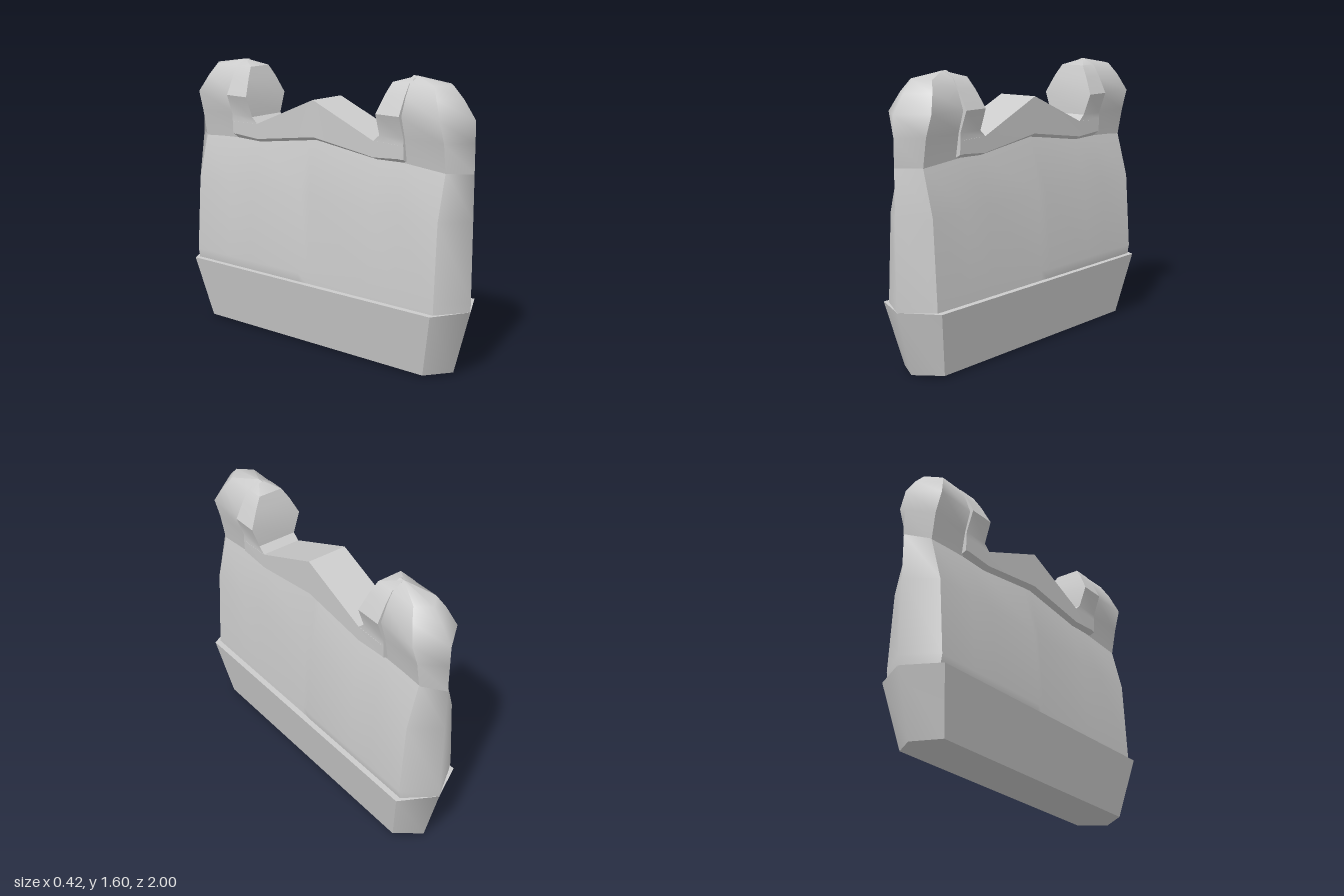
import * as THREE from 'three';
import { toCreasedNormals } from 'three/addons/utils/BufferGeometryUtils.js';

const material = new THREE.MeshStandardMaterial({ color: 0xcccccc, side: THREE.DoubleSide });

// Grid surface: rows run bottom to top, columns left to right seen from outside.
function patch(name, rows, crease = Math.PI) {
  const cols = rows[0].length;
  const index = [];
  for (let r = 0; r < rows.length - 1; r++) {
    for (let c = 0; c < cols - 1; c++) {
      const a = r * cols + c, d = a + cols;
      index.push(a, a + 1, d, a + 1, d + 1, d);
    }
  }
  let geometry = new THREE.BufferGeometry();
  geometry.setAttribute('position', new THREE.Float32BufferAttribute(rows.flat(2), 3));
  geometry.setIndex(index);
  if (crease < Math.PI) geometry = toCreasedNormals(geometry, crease);
  else geometry.computeVertexNormals();
  const mesh = new THREE.Mesh(geometry, material);
  mesh.name = name;
  return mesh;
}

// The same side surface on both the left and the right.
function bothSides(name, rows) {
  const mirrored = rows.map(row => row.map(([x, y, z]) => [-x, y, z]).reverse());
  return [patch(name + 'Left', rows), patch(name + 'Right', mirrored)];
}

// Pointed end surface from [y, halfWidth, shoulderZ, tipZ] levels.
const endRows = levels => levels.map(([y, w, sh, tip]) => [[-w, y, sh], [0, y, tip], [w, y, sh]]);

function makeBase() {
  const base = new THREE.Group();
  base.name = 'base';
  const levels = [[0.012, 0.147, 0.8, 0.9], [0.375, 0.21, 0.885, 1]];
  for (const turn of [0, Math.PI]) {
    const rows = endRows(levels);
    if (turn) rows[0][1][1] = 0;
    const end = patch('baseEnd', rows);
    end.rotation.y = turn;
    base.add(end);
  }
  base.add(...bothSides('baseSide', levels.map(([y, w, sh]) => [[w, y, sh], [w, y, -sh]])));
  // flat ledge and underside
  levels.forEach(([y, w, sh, tip], i) => {
    const slab = [[0, tip], [w, sh], [w, -sh], [0, -tip]].map(([hw, z]) => {
      const py = i === 0 && z === -tip ? 0 : y;
      return [[-hw, py, z], [0, py, z], [hw, py, z]];
    });
    base.add(patch(i ? 'baseLedge' : 'baseUnderside', i ? slab : slab.reverse(), 0.3));
  });
  return base;
}

function makeWall() {
  const wall = new THREE.Group();
  wall.name = 'wall';
  // the back half is slightly thicker than the front half
  const widths = back => back ? [0.176, 0.187, 0.158, 0.088] : [0.175, 0.173, 0.15, 0.086];
  const heights = [0.37, 0.43, 0.87, 1.13];
  for (const back of [false, true]) {
    const end = patch('wallEnd', endRows(heights.map((y, i) => [y, widths(back)[i], 0.88, 1])));
    if (back) end.rotation.y = Math.PI;
    wall.add(end);
  }
  const stations = [[0.88, 1.13], [0.62, 1.145], [0.44, 1.14], [0, 1.195],
    [-0.06, 1.187], [-0.44, 1.135], [-0.62, 1.14], [-0.88, 1.13]];
  wall.add(...bothSides('wallSide', heights.map((y, i) => stations.map(([z, top]) => {
    const lift = i === 2 ? (top - 1.13) * 0.25 : 0;
    return [widths(z < 0)[i], i === 3 ? top : y + lift, z];
  }))));
  return wall;
}

function makeRail() {
  const rail = new THREE.Group();
  rail.name = 'peakedRail';
  // z, wall top, lower edge, upper edge
  const stations = [[0.62, 1.145, 1.168, 1.24], [0.43, 1.14, 1.155, 1.245], [0, 1.195, 1.215, 1.425],
    [-0.43, 1.135, 1.155, 1.245], [-0.62, 1.14, 1.168, 1.24]];
  const row = (w, k) => stations.map(s => [w, s[k], s[0]]);
  rail.add(...bothSides('railUnderside', [row(0.087, 1), row(0.12, 2)]));
  rail.add(...bothSides('railSide', [row(0.12, 2), row(0.122, 3)]));
  rail.add(patch('railTop', stations.map(([z, , , y]) => [[-0.122, y, z], [0.122, y, z]]), 0.2));
  return rail;
}

function makePostHead() {
  const head = new THREE.Group();
  head.name = 'postHead';
  // outer half: pointed, rounded over at the top
  const levels = [[1.12, 0.088, 0.88, 1], [1.28, 0.115, 0.885, 1], [1.4, 0.15, 0.88, 1],
    [1.5, 0.112, 0.83, 0.925], [1.565, 0.075, 0.79, 0.86], [1.6, 0, 0.63, 0.63]];
  head.add(patch('headEnd', endRows(levels)));
  head.add(...bothSides('headSide',
    levels.map(([y, w, sh]) => [[w, y, sh], [w * 0.94, y, Math.min(sh, 0.6)]])));
  // inner half: a broader block with a flat face towards the rail
  const rings = [[1.15, 0.09, 0.44], [1.165, 0.118, 0.44], [1.245, 0.121, 0.43], [1.28, 0.121, 0.47],
    [1.4, 0.164, 0.475], [1.5, 0.115, 0.5], [1.565, 0.075, 0.52], [1.6, 0, 0.63]];
  head.add(patch('headInner', rings.map(([y, w, z]) => {
    const o = 0.63;
    return [[-w, y, o], [w, y, o], [w, y, z], [-w, y, z], [-w, y, o]];
  }), 0.6));
  return head;
}

export function createModel() {
  const model = new THREE.Group();
  model.name = 'barrierWall';
  const front = makePostHead();
  const back = makePostHead();
  back.rotation.y = Math.PI;
  model.add(makeBase(), makeWall(), makeRail(), front, back);
  return model;
}
